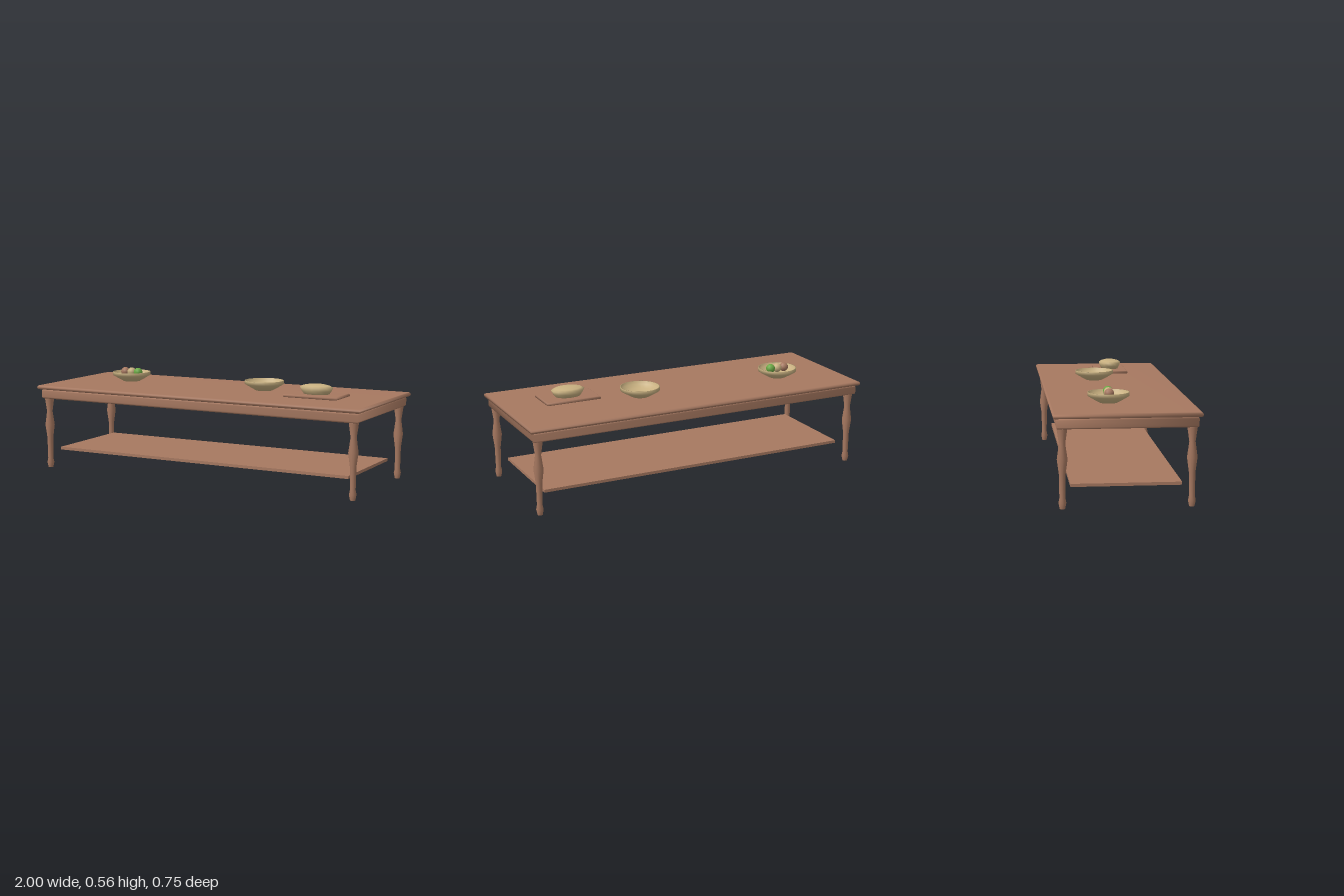
import * as THREE from 'three';
import { mergeVertices } from 'three/addons/utils/BufferGeometryUtils.js';

const paint = (name, color) => {
  const m = new THREE.MeshStandardMaterial({ color });
  m.name = name;
  return m;
};

// Slab with bevelled, softly shaded edges; spans y0 to y1
function softSlab(width, y0, y1, depth, bevel, segments) {
  const w = width / 2 - bevel, d = depth / 2 - bevel;
  const shape = new THREE.Shape([
    new THREE.Vector2(-w, -d), new THREE.Vector2(w, -d),
    new THREE.Vector2(w, d), new THREE.Vector2(-w, d),
  ]);
  let g = new THREE.ExtrudeGeometry(shape, {
    depth: y1 - y0 - 2 * bevel, bevelEnabled: true,
    bevelSize: bevel, bevelThickness: bevel, bevelSegments: segments,
  });
  g.rotateX(-Math.PI / 2).translate(0, y0 + bevel, 0);
  g.deleteAttribute('normal');
  g.deleteAttribute('uv');
  g = mergeVertices(g);
  g.computeVertexNormals();
  return g;
}

const lathe = (points, sides) =>
  new THREE.LatheGeometry(points.map(([r, y]) => new THREE.Vector2(r, y)), sides);

export function createModel() {
  const table = new THREE.Group();
  table.name = 'coffeeTable';

  const wood = paint('wood', 0xa67860);
  const cream = paint('cream', 0xc8b080);
  const green = paint('green', 0x6aa844);

  const add = (name, geometry, material, x = 0, y = 0, z = 0) => {
    const mesh = new THREE.Mesh(geometry, material);
    mesh.name = name;
    mesh.position.set(x, y, z);
    table.add(mesh);
    return mesh;
  };

  // Top, apron and lower shelf
  add('tableTop', softSlab(2, 0.459, 0.483, 0.745, 0.01, 2), wood);
  add('apron', softSlab(1.962, 0.405, 0.459, 0.71, 0.01, 2), wood);
  add('shelf', new THREE.BoxGeometry(1.81, 0.016, 0.564), wood, 0, 0.108, 0);

  // Turned legs
  const legShape = lathe([
    [0, 0], [0.014, 0], [0.014, 0.001], [0.02, 0.03], [0.015, 0.055], [0.017, 0.175],
    [0.027, 0.25], [0.016, 0.33], [0.026, 0.4], [0.026, 0.453], [0, 0.454],
  ], 12);
  for (const x of [-0.949, 0.949])
    for (const z of [-0.325, 0.325])
      add(`${z > 0 ? 'front' : 'back'}${x > 0 ? 'Left' : 'Right'}Leg`, legShape, wood, x, 0, z);

  // Two open bowls
  const bowlShape = lathe([
    [0, 0], [0.048, 0], [0.08, 0.018], [0.11, 0.036], [0.11, 0.055],
    [0.105, 0.055], [0.102, 0.038], [0.076, 0.022], [0.045, 0.008], [0, 0.006],
  ], 24);
  add('fruitBowl', bowlShape, cream, -0.63, 0.483, -0.064);
  add('emptyBowl', bowlShape, cream, 0.246, 0.483, -0.064);

  // Row of fruit
  const fruitShape = new THREE.SphereGeometry(0.026, 10, 8);
  [wood, cream, green].forEach((m, i) =>
    add(`fruit${i + 1}`, fruitShape, m, -0.674 + i * 0.044, 0.536, -0.064));

  // Cutting board with a loaf
  add('cuttingBoard', softSlab(0.312, 0.485, 0.502, 0.186, 0.006, 2), wood, 0.622, 0, 0.063);
  const loaf = add('loaf', lathe([
    [0, 0], [0.05, 0], [0.06, 0.02], [0.066, 0.038], [0.054, 0.047], [0.03, 0.054], [0, 0.055],
  ], 14), cream, 0.622, 0.5, 0.063);
  loaf.scale.x = 1.43;

  return table;
}
